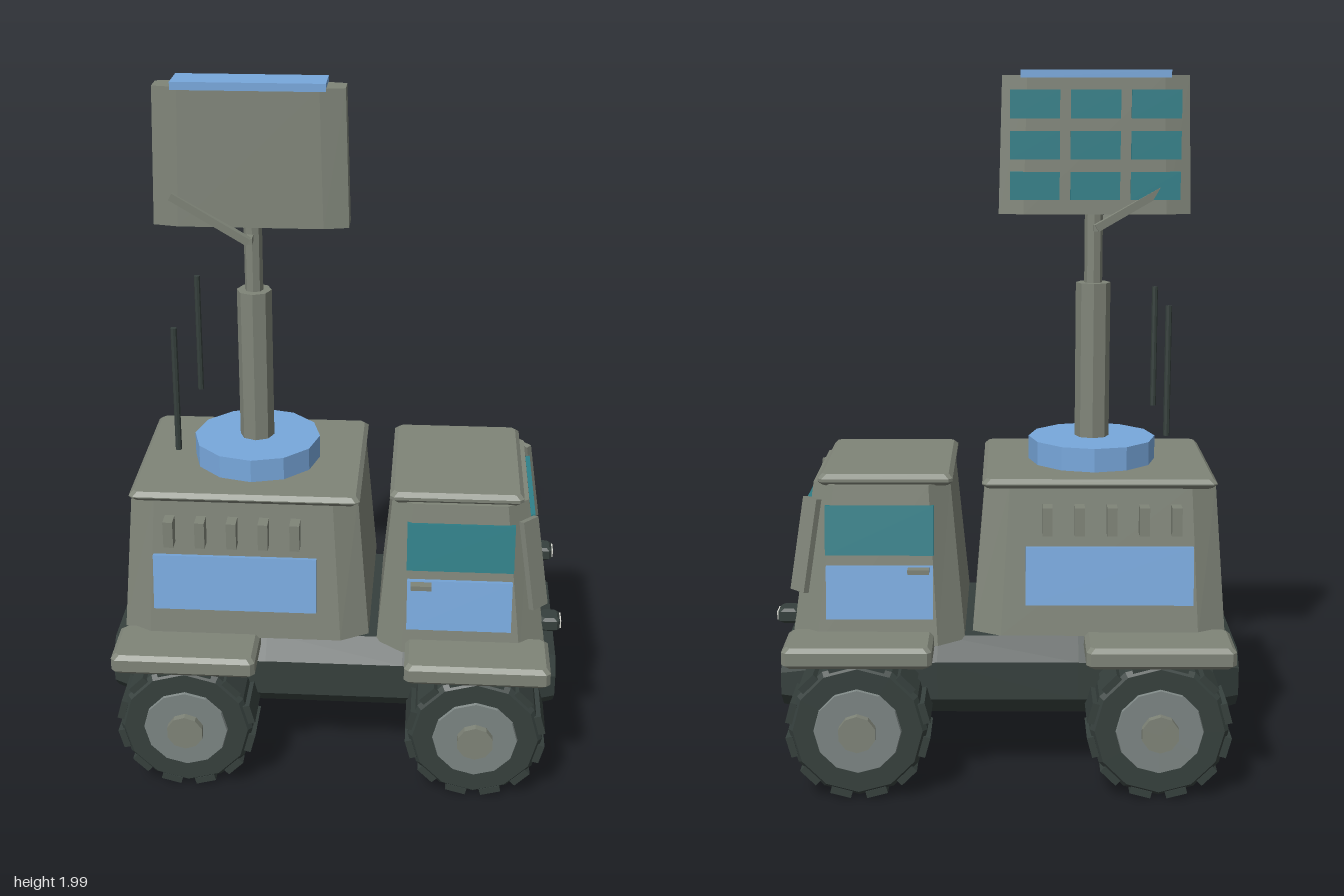
import * as THREE from 'three';

const mat = (color) => new THREE.MeshStandardMaterial({ color, flatShading: true });
const M = {
  hull: mat(0x7f8478), dark: mat(0x36403d), hub: mat(0x7c8583),
  blue: mat(0x78a8dc), glass: mat(0x2f7f88), lens: mat(0xd8d8d0),
};

// Eight-cornered outline with half sizes U, V and corner cuts cu, cv
const octagon = (U, V, cu, cv = cu) => [
  [U, -V + cv], [U, V - cv], [U - cu, V], [-U + cu, V],
  [-U, V - cv], [-U, -V + cv], [-U + cu, -V], [U - cu, -V],
];
// Horizontal ring at height y, and upright ring at station x
const ringY = (y, x0, x1, hz, cx, cz) =>
  octagon(hz, (x1 - x0) / 2, cz, cx).map(([u, v]) => [(x0 + x1) / 2 + v, y, u]);
const ringX = (x, y0, y1, hz, c) =>
  octagon((y1 - y0) / 2, hz, c).map(([u, v]) => [x, (y0 + y1) / 2 + u, v]);

// Skin a list of equal rings and close both ends
function loft(rings) {
  const n = rings[0].length, idx = [], last = (rings.length - 1) * n;
  for (let r = 0; r < rings.length - 1; r++) {
    for (let i = 0; i < n; i++) {
      const a = r * n + i, b = r * n + (i + 1) % n;
      idx.push(a, b, b + n, a, b + n, a + n);
    }
  }
  for (let i = 1; i < n - 1; i++) {
    idx.push(0, i + 1, i, last, last + i, last + i + 1);
  }
  const g = new THREE.BufferGeometry();
  g.setAttribute('position', new THREE.Float32BufferAttribute(rings.flat(2), 3));
  g.setIndex(idx);
  const flat = g.toNonIndexed();
  flat.computeVertexNormals();
  return flat;
}

// Slab with bevelled edges
function slab(x0, x1, y0, y1, hz, b = 0.012) {
  const ring = (y, e) => ringY(y, x0 + e, x1 - e, hz - e, b, b);
  return loft([ring(y0, b), ring(y0 + b, 0), ring(y1 - b, 0), ring(y1, b)]);
}

export function createModel() {
  const model = new THREE.Group();
  model.name = 'radarTruck';

  const add = (name, geo, material, x = 0, y = 0, z = 0, parent = model) => {
    const m = new THREE.Mesh(geo, material);
    m.name = name;
    m.position.set(x, y, z);
    parent.add(m);
    return m;
  };
  const box = (name, w, h, d, material, x, y, z, parent) =>
    add(name, new THREE.BoxGeometry(w, h, d), material, x, y, z, parent);
  // Bar between two points
  const bar = (name, a, b, w, d, material, parent) => {
    const p = new THREE.Vector3(...a), q = new THREE.Vector3(...b);
    const m = box(name, w, p.distanceTo(q), d, material, 0, 0, 0, parent);
    m.position.copy(p).lerp(q, 0.5);
    m.quaternion.setFromUnitVectors(new THREE.Vector3(0, 1, 0), q.sub(p).normalize());
    return m;
  };

  // Chassis, tapered at both ends
  add('chassis', loft([
    ringX(-0.66, 0.2, 0.37, 0.26, 0.045),
    ringX(-0.58, 0.19, 0.41, 0.31, 0.06),
    ringX(-0.2, 0.19, 0.42, 0.31, 0.06),
    ringX(0.2, 0.19, 0.42, 0.31, 0.06),
    ringX(0.54, 0.19, 0.4, 0.31, 0.06),
    ringX(0.65, 0.2, 0.355, 0.26, 0.045),
  ]), M.dark);

  // Wheels and fenders
  const tyreProfile = [[0, -0.08], [0.18, -0.08], [0.193, -0.065], [0.193, 0.065], [0.18, 0.08], [0, 0.08]]
    .map(([r, h]) => new THREE.Vector2(r, h));
  const tyreGeo = new THREE.LatheGeometry(tyreProfile, 12).rotateX(Math.PI / 2);
  const hubGeo = new THREE.CylinderGeometry(0.12, 0.127, 0.02, 12).rotateX(Math.PI / 2);
  const capGeo = new THREE.CylinderGeometry(0.053, 0.053, 0.03, 10).rotateX(Math.PI / 2);
  for (const x of [-0.42, 0.415]) {
    for (const s of [1, -1]) {
      const wheel = new THREE.Group();
      wheel.name = 'wheel';
      wheel.position.set(x, 0.208, s * 0.36);
      if (s < 0) wheel.rotation.y = Math.PI;
      model.add(wheel);
      add('tyre', tyreGeo, M.dark, 0, 0, 0, wheel);
      add('hub', hubGeo, M.hub, 0, 0, 0.077, wheel);
      add('hubCap', capGeo, M.hull, 0, 0, 0.093, wheel);
      for (let i = 0; i < 12; i++) {
        const a = (i + 0.5) * Math.PI / 6;
        const lug = box('treadBlock', 0.02, 0.06, 0.15, M.dark,
          Math.sin(a) * 0.19, Math.cos(a) * 0.19, 0, wheel);
        lug.rotation.z = Math.PI / 2 - a;
        lug.scale.set(1, 1, 1);
      }
      add('fender', slab(x - 0.207, x + 0.205, 0.39, 0.45, 0.092), M.hull, 0, 0, s * 0.363);
    }
  }

  // Rear equipment body
  add('rearBody', loft([
    ringY(0.44, -0.615, 0.1, 0.31, 0.08, 0.045),
    ringY(0.86, -0.585, 0.065, 0.258, 0.07, 0.035),
  ]), M.hull);
  add('rearRoof', slab(-0.585, 0.072, 0.855, 0.882, 0.277), M.hull);

  // Cab
  add('cab', loft([
    ringY(0.41, 0.122, 0.613, 0.312, 0.075, 0.06),
    ringY(0.86, 0.163, 0.55, 0.248, 0.06, 0.05),
  ]), M.hull);
  add('cabRoof', slab(0.155, 0.535, 0.855, 0.888, 0.243), M.hull);
  const windshield = box('windshield', 0.02, 0.15, 0.39, M.glass, 0.571, 0.735, 0);
  windshield.rotation.z = 0.14;

  // Side fittings, mirrored
  for (const s of [1, -1]) {
    const wall = (name, w, h, d, material, x, y, z, tilt) => {
      box(name, w, h, d, material, x, y, s * z).rotation.x = -s * tilt;
    };
    wall('sideWindow', 0.305, 0.14, 0.022, M.glass, 0.36, 0.735, 0.268, 0.14);
    wall('door', 0.3, 0.15, 0.024, M.blue, 0.36, 0.562, 0.294, 0.14);
    wall('doorHandle', 0.06, 0.014, 0.04, M.hull, 0.25, 0.628, 0.302, 0);
    wall('lockerPanel', 0.47, 0.165, 0.024, M.blue, -0.285, 0.61, 0.291, 0.123);
    for (let i = 0; i < 5; i++) {
      wall('vent', 0.028, 0.08, 0.05, M.hull, -0.47 + i * 0.09, 0.77, 0.287, 0);
    }
    // Slanted corner guard at the cab front
    const guard = new THREE.Group();
    guard.name = 'cornerGuard';
    guard.position.set(0.566, 0.695, s * 0.27);
    guard.rotation.y = -s * Math.PI / 4;
    model.add(guard);
    bar('guardPlate', [0.028, -0.13, 0], [-0.025, 0.13, 0], 0.018, 0.06, M.hull, guard);
    // Headlight
    add('headlightHousing', slab(0.595, 0.655, 0.452, 0.495, 0.033, 0.008), M.dark, 0, 0, s * 0.212);
    box('headlightLens', 0.008, 0.024, 0.046, M.lens, 0.655, 0.474, s * 0.212);
    // Whip antenna
    add('whipAntenna', new THREE.CylinderGeometry(0.009, 0.009, 0.365, 8), M.dark, -0.443, 1.18, s * 0.218);
  }

  // Turntable and telescopic mast
  const mx = -0.245;
  add('turntable', new THREE.CylinderGeometry(0.185, 0.185, 0.07, 12), M.blue, mx, 0.915, 0);
  add('lowerMast', new THREE.CylinderGeometry(0.05, 0.05, 0.45, 8), M.hull, mx, 1.177, 0);
  add('upperMast', new THREE.CylinderGeometry(0.026, 0.026, 0.3, 8), M.hull, mx, 1.53, 0);

  // Radar panel with tiles on its back face
  add('radarPanel', loft([
    ringY(1.6, -0.517, 0.027, 0.054, 0.07, 0.016),
    ringY(1.985, -0.507, 0.017, 0.046, 0.07, 0.014),
  ]), M.hull);
  box('radarCap', 0.42, 0.022, 0.11, M.blue, mx, 1.989, -0.003);
  for (let row = 0; row < 3; row++) {
    for (let col = -1; col <= 1; col++) {
      box('radarTile', 0.14, 0.078, 0.02, M.glass, mx + col * 0.17, 1.68 + row * 0.113, -0.05);
    }
  }
  for (const s of [1, -1]) {
    bar('panelStrut', [-0.465, 1.685, s * 0.048], [-0.25, 1.562, s * 0.062], 0.022, 0.018, M.hull);
  }
  bar('strutBracket', [-0.25, 1.562, -0.062], [-0.25, 1.562, 0.062], 0.018, 0.018, M.hull);

  return model;
}
